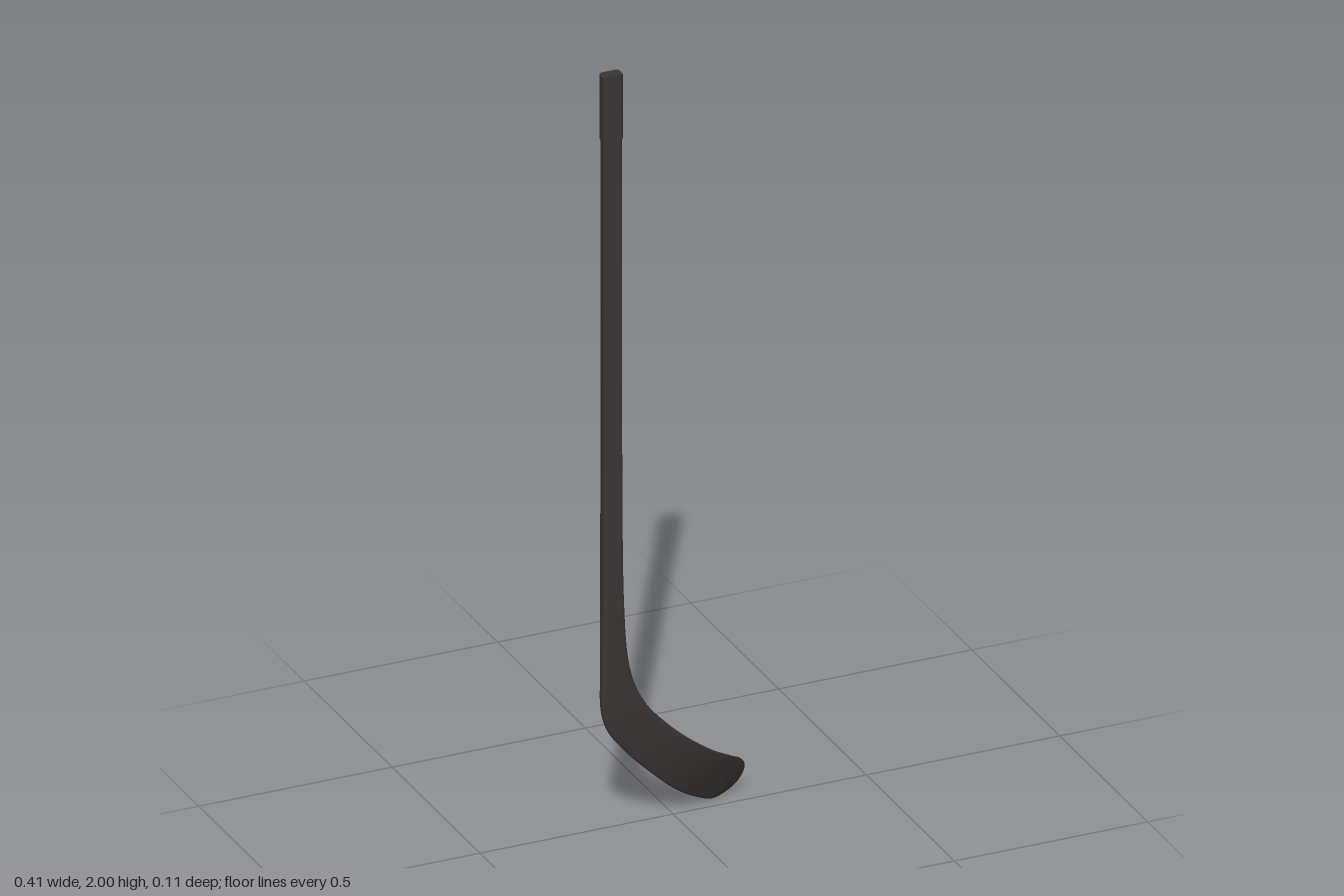
import * as THREE from 'three';

const SIDES = 40;

// Skin a row of sections. Each section has a heel-side edge b, a toe-side edge t,
// a half thickness h, a squareness n and a hollow c for the broad faces.
function loft(sections, material, name) {
  const pos = [], index = [];
  const ring = ({ b, t, h, n, c }) => {
    const mid = b.clone().add(t).multiplyScalar(0.5);
    const half = t.clone().sub(b).multiplyScalar(0.5);
    const out = [];
    for (let i = 0; i < SIDES; i++) {
      const a = (i / SIDES) * Math.PI * 2;
      const bend = (w) => Math.sign(w) * Math.pow(Math.abs(w), 2 / n);
      const u = bend(Math.cos(a)), v = bend(Math.sin(a)) * (1 - c * (1 - u * u));
      out.push(mid.clone().addScaledVector(half, u).add(new THREE.Vector3(0, 0, h * v)));
    }
    return out;
  };
  const rings = sections.map(ring);
  rings.forEach((r) => r.forEach((p) => pos.push(p.x, p.y, p.z)));
  for (let s = 0; s < rings.length - 1; s++) {
    for (let i = 0; i < SIDES; i++) {
      const j = (i + 1) % SIDES, a = s * SIDES, d = a + SIDES;
      index.push(a + i, a + j, d + i, a + j, d + j, d + i);
    }
  }
  // End caps with their own vertices keep a crisp rim
  [[rings[0], true], [rings[rings.length - 1], false]].forEach(([r, first]) => {
    const start = pos.length / 3;
    const centre = r.reduce((m, p) => m.add(p), new THREE.Vector3()).divideScalar(SIDES);
    [...r, centre].forEach((p) => pos.push(p.x, p.y, p.z));
    for (let i = 0; i < SIDES; i++) {
      const j = (i + 1) % SIDES;
      index.push(start + SIDES, start + (first ? j : i), start + (first ? i : j));
    }
  });
  const geometry = new THREE.BufferGeometry();
  geometry.setAttribute('position', new THREE.Float32BufferAttribute(pos, 3));
  geometry.setIndex(index);
  geometry.computeVertexNormals();
  const mesh = new THREE.Mesh(geometry, material);
  mesh.name = name;
  return mesh;
}

export function createModel() {
  const group = new THREE.Group();
  group.name = 'hockeyStick';
  const carbon = new THREE.MeshStandardMaterial({ color: 0x3b3635 });
  carbon.name = 'charcoal';

  // Straight shaft and the slightly thicker grip at its top
  const level = (y, x0, x1, h) => ({
    b: new THREE.Vector3(x0, y, 0.036), t: new THREE.Vector3(x1, y, 0.036), h, n: 5, c: 0.08,
  });
  group.add(loft([level(2, -0.203, -0.151, 0.0168), level(1.83, -0.203, -0.151, 0.0168)], carbon, 'grip'));
  group.add(loft([level(1.835, -0.201, -0.153, 0.0155), level(0.865, -0.201, -0.152, 0.0155)], carbon, 'shaft'));

  // Neck and curved blade: heel edge x y z, toe edge x y z, half thickness
  const rows = [
    [-0.201, 0.865, 0.036, -0.152, 0.865, 0.036, 0.0155],
    [-0.202, 0.6, 0.036, -0.147, 0.6, 0.036, 0.015],
    [-0.203, 0.42, 0.036, -0.136, 0.46, 0.036, 0.0125],
    [-0.203, 0.33, 0.037, -0.117, 0.385, 0.036, 0.0095],
    [-0.186, 0.272, 0.036, -0.083, 0.32, 0.036, 0.0075],
    [-0.138, 0.207, 0.031, -0.03, 0.26, 0.033, 0.006],
    [-0.07, 0.135, 0.021, 0.03, 0.205, 0.026, 0.005],
    [0, 0.07, 0.004, 0.1, 0.152, 0.01, 0.0045],
    [0.064, 0.025, -0.02, 0.152, 0.121, -0.005, 0.0042],
    [0.118, 0.001, -0.038, 0.182, 0.102, -0.02, 0.004],
    [0.15, 0.004, -0.048, 0.197, 0.084, -0.031, 0.004],
    [0.174, 0.015, -0.051, 0.202, 0.066, -0.04, 0.0038],
    [0.187, 0.026, -0.051, 0.2, 0.05, -0.046, 0.0035],
  ];
  const curve = (pick) => new THREE.CatmullRomCurve3(rows.map(pick), false, 'centripetal');
  const heelEdge = curve((r) => new THREE.Vector3(r[0], r[1], r[2]));
  const toeEdge = curve((r) => new THREE.Vector3(r[3], r[4], r[5]));
  const sections = [];
  const steps = (rows.length - 1) * 5;
  for (let i = 0; i <= steps; i++) {
    const k = i / steps, f = k * (rows.length - 1);
    const lo = Math.min(Math.floor(f), rows.length - 2);
    const blend = THREE.MathUtils.smoothstep(k, 0.1, 0.5);
    sections.push({
      b: heelEdge.getPoint(k),
      t: toeEdge.getPoint(k),
      h: THREE.MathUtils.lerp(rows[lo][6], rows[lo + 1][6], f - lo),
      n: THREE.MathUtils.lerp(5, 4, blend),
      c: 0.08 * (1 - blend),
    });
  }
  group.add(loft(sections, carbon, 'blade'));
  return group;
}
